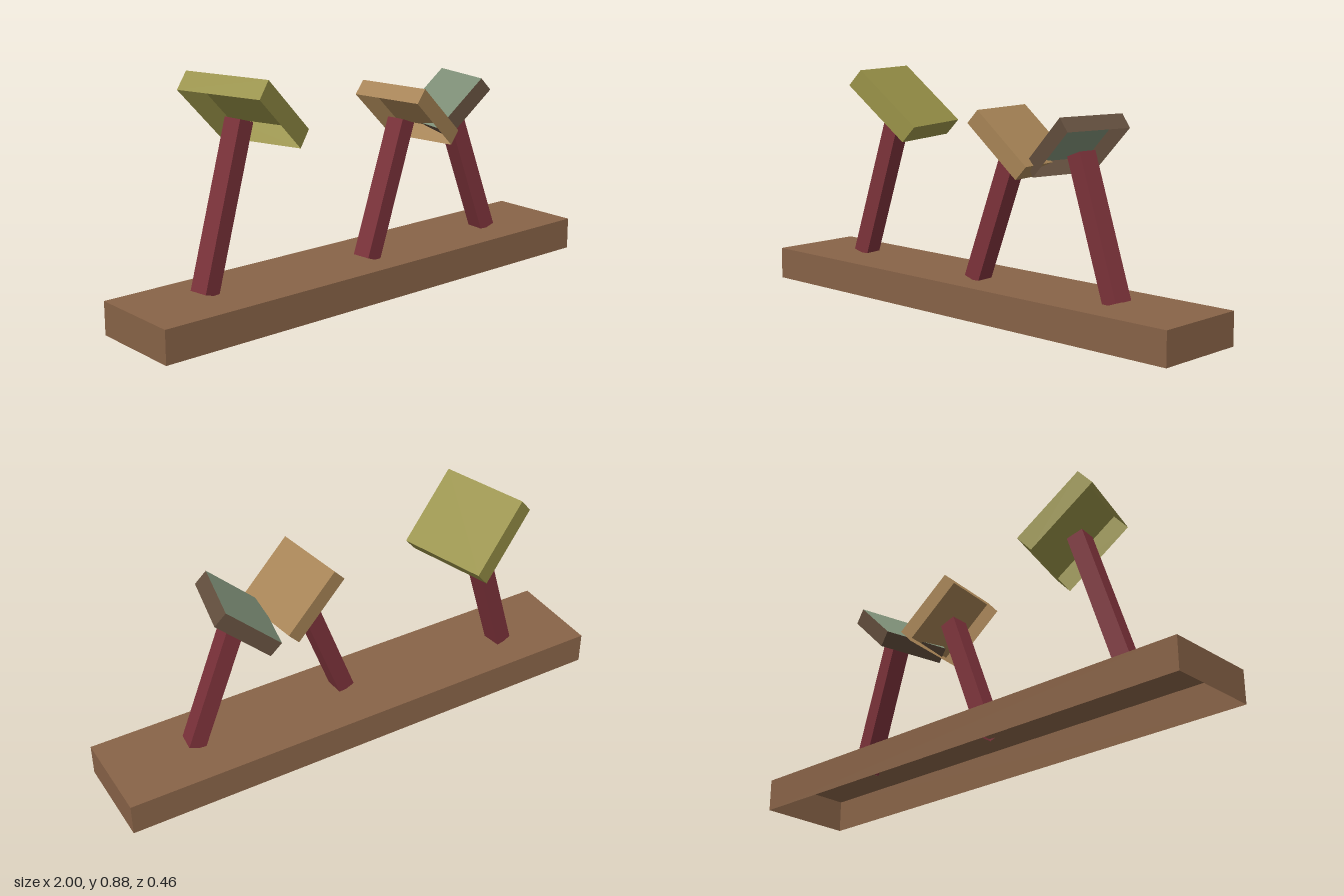
import * as THREE from 'three';

const mat = (name, color) => {
  const m = new THREE.MeshStandardMaterial({ color, side: THREE.DoubleSide });
  m.name = name;
  return m;
};
const deg = THREE.MathUtils.degToRad;

// Box shell with an open underside; group 0 = sides, group 1 = top
function openBox(w, h, d) {
  const g = new THREE.BoxGeometry(w, h, d);
  const i = Array.from(g.index.array);
  g.setIndex([...i.slice(0, 12), ...i.slice(24, 36), ...i.slice(12, 18)]);
  g.clearGroups();
  g.addGroup(0, 24, 0);
  g.addGroup(24, 6, 1);
  return g;
}

export function createModel() {
  const model = new THREE.Group();
  const wood = mat('brown wood', 0x886347);
  const red = mat('dark red', 0x7c323a);
  const olive = mat('olive', 0x989147);
  const tan = mat('tan', 0xa68355);
  const umber = mat('dark umber', 0x624e3d);
  const sage = mat('sage green', 0x7e8f77);

  function add(name, size, pos, yaw, tilt, side, top = side) {
    const mesh = new THREE.Mesh(openBox(...size), [side, top]);
    mesh.name = name;
    mesh.position.set(...pos);
    mesh.rotation.set(0, deg(yaw), deg(tilt), 'YXZ');
    model.add(mesh);
    return mesh;
  }

  // Long base, hollow underneath
  add('base', [2, 0.125, 0.375], [0, 0.0625, 0.032], 0, 0, wood);

  // Each leaning post carries a tilted slab turned twice as far
  const stands = [
    { name: 'right', foot: [-0.696, 0.127, 0.013], len: 0.62, lean: -17.3, yaw: 8.4,
      slab: [0.32, 0.08, 0.352], at: [-0.49, 0.749, -0.018], tilt: -41.5, side: olive, top: olive },
    { name: 'middle', foot: [0.008, 0.127, 0.073], len: 0.538, lean: -20, yaw: 4.1,
      slab: [0.281, 0.066, 0.297], at: [0.217, 0.658, 0.066], tilt: -42, side: tan, top: tan },
    { name: 'left', foot: [0.657, 0.127, 0.048], len: 0.538, lean: 20, yaw: -5.6,
      slab: [0.262, 0.064, 0.275], at: [0.455, 0.658, 0.028], tilt: 42, side: umber, top: sage },
  ];
  for (const s of stands) {
    const post = add(s.name + 'Post', [0.067, s.len, 0.076], s.foot, s.yaw, s.lean, red);
    post.geometry.translate(0, s.len / 2, 0); // pivot at the foot
    add(s.name + 'Slab', s.slab, s.at, s.yaw * 2, s.tilt, s.side, s.top);
  }
  return model;
}
